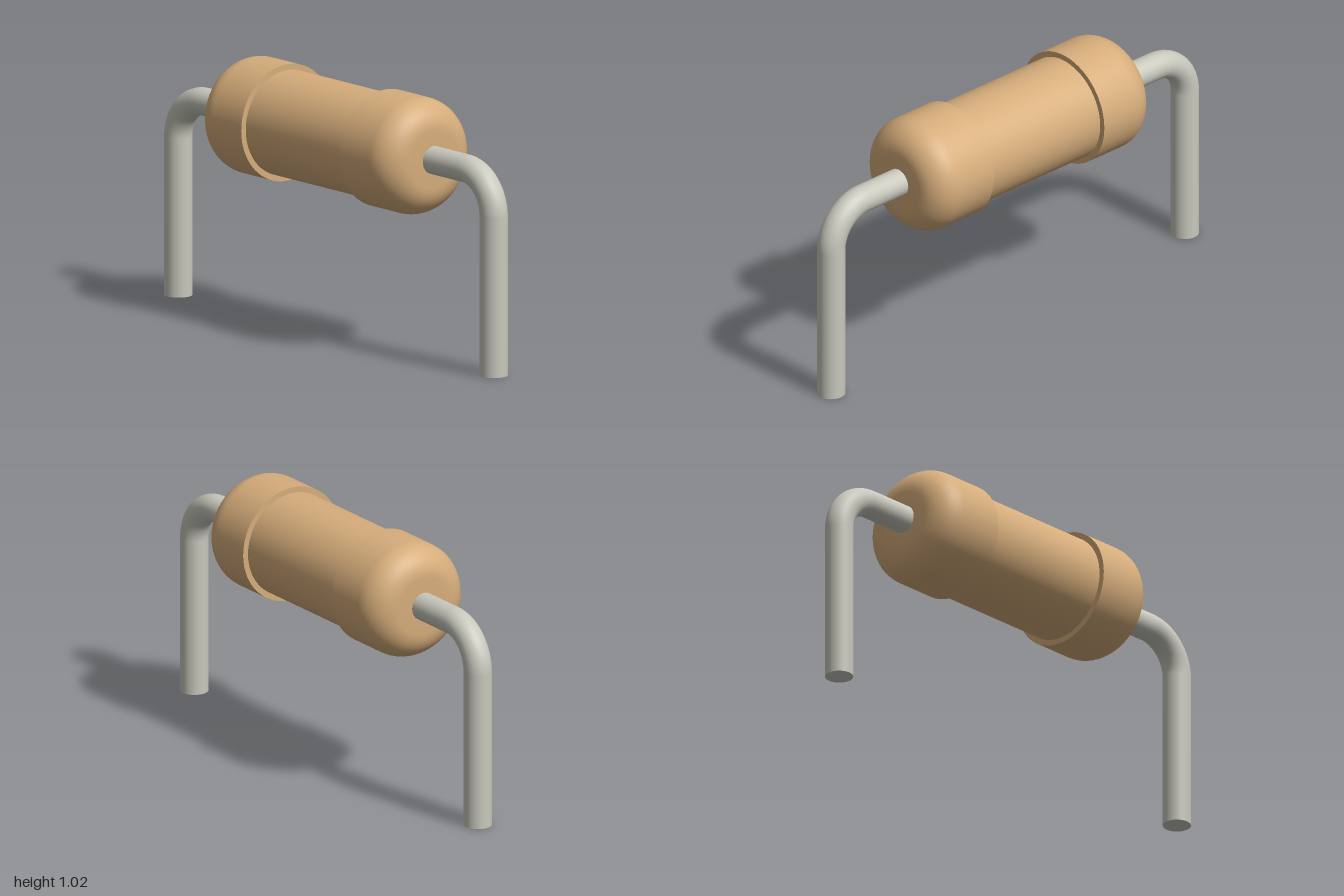
import * as THREE from 'three';
import { toCreasedNormals } from 'three/addons/utils/BufferGeometryUtils.js';

const AXIS_Y = 0.792, WIRE_R = 0.055, BEND_R = 0.165, LEG_X = 0.945;
const CAP_R = 0.231, CAP_IN = 0.295, CAP_OUT = 0.585, FILLET = 0.115;

export function createModel() {
  const tan = new THREE.MeshStandardMaterial({ color: 0xd6ad7b });
  tan.name = 'tanCoating';
  const metal = new THREE.MeshStandardMaterial({ color: 0xc8c8bd });
  metal.name = 'greyWire';

  const model = new THREE.Group();
  model.name = 'axialComponent';

  const add = (parent, name, geometry, material, x = 0, y = 0, rz = 0) => {
    const mesh = new THREE.Mesh(geometry, material);
    mesh.name = name;
    mesh.position.set(x, y, 0);
    mesh.rotation.z = rz;
    parent.add(mesh);
  };

  // Slimmer barrel between the end caps
  add(model, 'barrel', new THREE.CylinderGeometry(0.208, 0.208, 2 * CAP_IN + 0.02, 64, 1, true),
    tan, 0, AXIS_Y, -Math.PI / 2);

  // End cap profile: stepped shoulder, straight side, rounded outer edge, flat end
  const profile = [
    new THREE.Vector2(0.2, CAP_IN),
    new THREE.Vector2(CAP_R, CAP_IN),
  ];
  for (let i = 0; i <= 12; i++) {
    const a = (i / 12) * Math.PI / 2;
    profile.push(new THREE.Vector2(
      CAP_R - FILLET + FILLET * Math.cos(a),
      CAP_OUT - FILLET + FILLET * Math.sin(a)));
  }
  profile.push(new THREE.Vector2(0.04, CAP_OUT));
  const capGeometry = toCreasedNormals(new THREE.LatheGeometry(profile, 64), 0.6);

  // Wire lead: straight run, quarter bend, vertical leg
  const bendX = LEG_X - BEND_R, bendY = AXIS_Y - BEND_R, runStart = CAP_OUT - 0.02;
  const runGeometry = new THREE.CylinderGeometry(WIRE_R, WIRE_R, bendX - runStart, 32, 1, true);
  const bendGeometry = new THREE.TorusGeometry(BEND_R, WIRE_R, 32, 20, Math.PI / 2);
  const legGeometry = new THREE.CylinderGeometry(WIRE_R, WIRE_R, bendY, 32);

  // The two ends are half-turn copies of each other
  for (const [side, turn] of [['left', 0], ['right', Math.PI]]) {
    const end = new THREE.Group();
    end.name = side + 'End';
    end.rotation.y = turn;
    add(end, side + 'Cap', capGeometry, tan, 0, AXIS_Y, -Math.PI / 2);
    add(end, side + 'LeadRun', runGeometry, metal, (runStart + bendX) / 2, AXIS_Y, -Math.PI / 2);
    add(end, side + 'LeadBend', bendGeometry, metal, bendX, bendY);
    add(end, side + 'LeadLeg', legGeometry, metal, LEG_X, bendY / 2);
    model.add(end);
  }

  return model;
}
